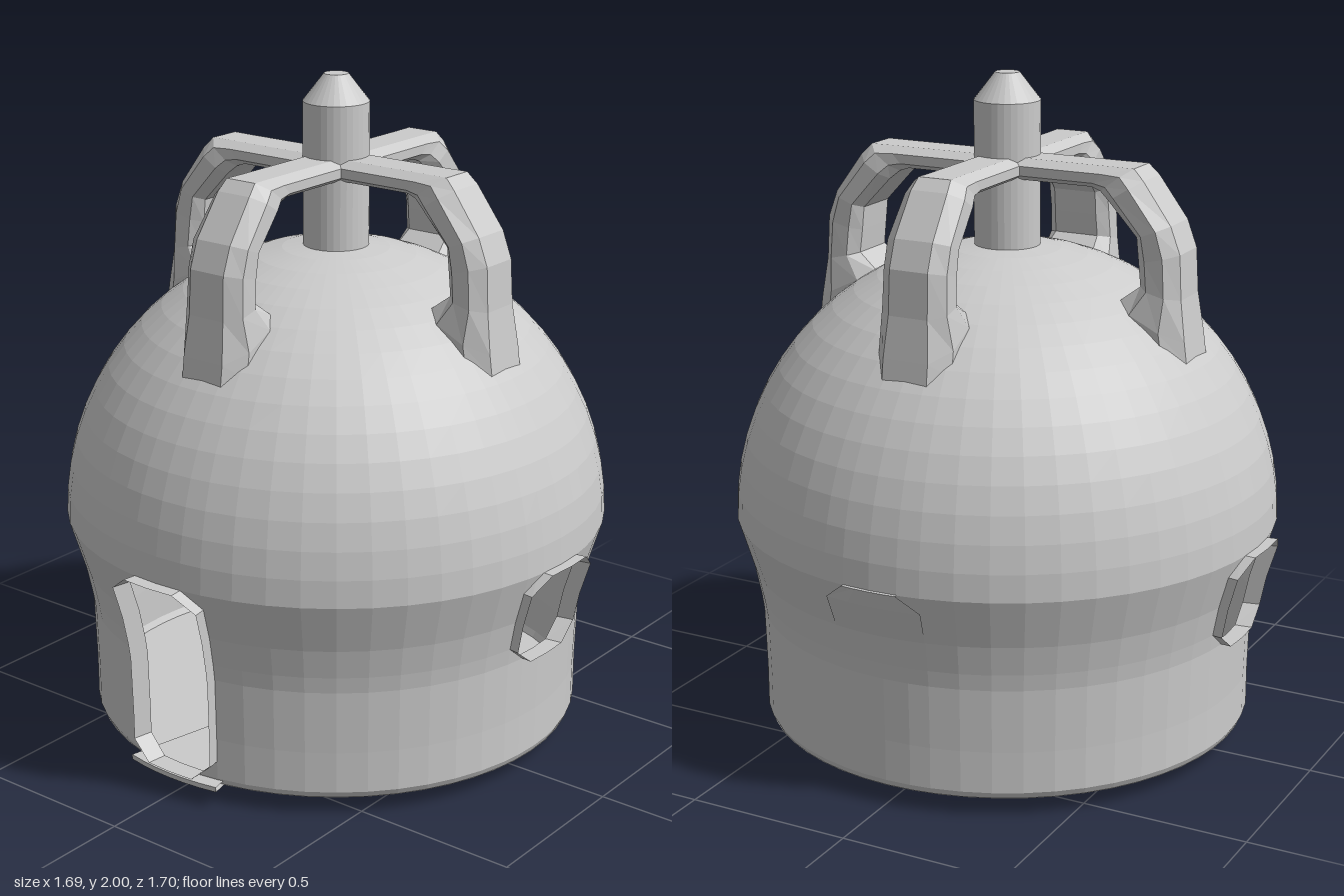
import * as THREE from 'three';

const material = new THREE.MeshStandardMaterial({
  color: 0xcccccc, flatShading: true, side: THREE.DoubleSide,
});

// Lower wall profile: [height, radius]; a hemisphere continues above it
const DOME_Y = 0.68, DOME_R = 0.82;
const profile = [
  [0.055, 0.735], [0.075, 0.745], [0.13, 0.745], [0.2, 0.745], [0.39, 0.75],
  [0.44, 0.757], [0.53, 0.775], [0.63, 0.805], [DOME_Y, DOME_R],
];
const DOME_ROWS = 16;
for (let i = 1; i <= DOME_ROWS; i++) {
  const e = (i / DOME_ROWS) * Math.PI / 2;
  profile.push([DOME_Y + DOME_R * Math.sin(e), DOME_R * Math.cos(e)]);
}

// Openings are octagons in (angle, height): half widths in degrees
const HALF = 10.7, FLAT = 6;
const portHole = { y: [0.39, 0.44, 0.63, 0.68], depth: 0.032 };
const doorHole = { y: [0.075, 0.13, 0.63, 0.68], depth: 0.042 };
const openings = [portHole, null, portHole, doorHole]; // +z, +x, -z, -x

function radiusAt(y) {
  for (let i = 1; i < profile.length; i++) {
    const [y0, r0] = profile[i - 1], [y1, r1] = profile[i];
    if (y <= y1) return r0 + (r1 - r0) * (y - y0) / (y1 - y0);
  }
  return 0;
}

// Point on the body at an angle (degrees from +z towards +x) and height
function onBody(deg, y, offset = 0) {
  const a = THREE.MathUtils.degToRad(deg), r = radiusAt(y) + offset;
  return [r * Math.sin(a), y, r * Math.cos(a)];
}

function meshFrom(name, triangles) {
  const g = new THREE.BufferGeometry();
  g.setAttribute('position', new THREE.Float32BufferAttribute(triangles.flat(), 3));
  g.computeVertexNormals();
  const mesh = new THREE.Mesh(g, material);
  mesh.name = name;
  return mesh;
}

const quad = (out, a, b, c, d) => out.push(a, b, c, a, c, d);

// Domed shell, leaving out the cells that lie inside an opening
function makeBody() {
  const side = [0, FLAT, HALF, 17.5, 24.4, 31.2, 38.1, 45];
  const cols = [...side.slice(1).reverse().map((a) => -a), ...side];
  const tri = [];
  openings.forEach((hole, q) => {
    for (let c = 0; c < cols.length - 1; c++) {
      for (let r = 0; r < profile.length - 1; r++) {
        const a0 = cols[c], a1 = cols[c + 1], y0 = profile[r][0], y1 = profile[r + 1][0];
        const am = (a0 + a1) / 2, ym = (y0 + y1) / 2;
        const p = [[a0, y0], [a1, y0], [a1, y1], [a0, y1]].map(([a, y]) => onBody(q * 90 + a, y));
        if (hole && Math.abs(am) < HALF && ym > hole.y[0] && ym < hole.y[3]) {
          const low = ym < hole.y[1], high = ym > hole.y[2];
          // Corner cells keep only their outer half
          if (Math.abs(am) > FLAT && (low || high)) {
            const keep = low ? (am < 0 ? 0 : 1) : (am < 0 ? 3 : 2);
            tri.push(p[(keep + 3) % 4], p[keep], p[(keep + 1) % 4]);
          }
        } else quad(tri, ...p);
      }
    }
  });
  return meshFrom('body', tri);
}

// Thin collar standing out around an opening
function makeCollar(hole, q) {
  const [b, b1, t1, t] = hole.y;
  const rows = profile.map((p) => p[0]).filter((y) => y > b1 + 0.001 && y < t1 - 0.001);
  const right = [[0, b], [FLAT, b], [HALF, b1], ...rows.map((y) => [HALF, y]), [HALF, t1], [FLAT, t], [0, t]];
  const loop = [...right, ...right.slice(1, -1).reverse().map(([a, y]) => [-a, y])];
  const tri = [];
  loop.forEach(([a, y], i) => {
    const [a2, y2] = loop[(i + 1) % loop.length];
    quad(tri, onBody(q * 90 + a, y, -0.02), onBody(q * 90 + a2, y2, -0.02),
      onBody(q * 90 + a2, y2, hole.depth), onBody(q * 90 + a, y, hole.depth));
  });
  return meshFrom(hole === doorHole ? 'doorCollar' : 'portCollar', tri);
}

// Faint raised arch on the closed side
function makeArchPanel() {
  const rows = [[0.53, HALF, 0.001], [0.63, HALF, 0.008], [0.68, FLAT, 0.008], [0.682, FLAT, -0.005]];
  const tri = [];
  for (let i = 0; i < rows.length - 1; i++) {
    for (let s = -2; s < 2; s++) {
      const pt = ([y, w, o], k) => onBody(90 + w * k / 2, y, o);
      quad(tri, pt(rows[i], s), pt(rows[i], s + 1), pt(rows[i + 1], s + 1), pt(rows[i + 1], s));
    }
  }
  return meshFrom('archPanel', tri);
}

// Bent arm: chamfered cross-sections between outer and inner edges
function makeArm() {
  // outer distance, outer height, inner distance, inner height, half width
  const stations = [
    [0, 1.762, 0, 1.7, 0.082], [0.36, 1.762, 0.3, 1.7, 0.082],
    [0.43, 1.762, 0.33, 1.69, 0.085], [0.462, 1.73, 0.36, 1.665, 0.095],
    [0.55, 1.61, 0.45, 1.57, 0.1], [0.58, 1.53, 0.457, 1.5, 0.1],
    [0.587, 1.4, 0.465, 1.43, 0.103], [0.604, 1.28, 0.4, 1.38, 0.118],
    [0.612, 1.22, 0.42, 1.28, 0.118],
  ];
  // across the width, and from outer (0) to inner (1)
  const section = [[0.6, 0], [1, 0.3], [1, 0.75], [0.7, 1], [-0.7, 1], [-1, 0.75], [-1, 0.3], [-0.6, 0]];
  const rings = stations.map(([ro, yo, ri, yi, w]) => section.map(([u, v]) =>
    [u * w, yo + (yi - yo) * v, ro + (ri - ro) * v]));
  const tri = [];
  for (let i = 0; i < rings.length - 1; i++) {
    for (let k = 0; k < 8; k++) {
      const n = (k + 1) % 8;
      quad(tri, rings[i][k], rings[i][n], rings[i + 1][n], rings[i + 1][k]);
    }
  }
  // the winding follows the section seen from the arm's outer side
  for (let i = 0; i < tri.length; i += 3) [tri[i + 1], tri[i + 2]] = [tri[i + 2], tri[i + 1]];
  return meshFrom('arm', tri);
}

export function createModel() {
  const model = new THREE.Group();
  model.name = 'domedHouse';
  model.position.x = 0.02;
  const root = new THREE.Group();
  root.add(model);

  model.add(makeBody(), makeArchPanel());
  openings.forEach((hole, q) => hole && model.add(makeCollar(hole, q)));

  // Floor disc
  const floor = new THREE.Mesh(new THREE.CircleGeometry(0.737, 56).rotateX(Math.PI / 2), material);
  floor.name = 'floor';
  floor.position.y = 0.055;
  model.add(floor);

  // Doorstep: a small sector of floor reaching past the door
  const rad = THREE.MathUtils.degToRad;
  const step = new THREE.Mesh(
    new THREE.CylinderGeometry(0.785, 0.785, 0.015, 6, 1, false, rad(270 - 12), rad(24)), material);
  step.name = 'doorstep';
  step.position.y = 0.062;
  model.add(step);

  // Central pole with a blunt tip
  const pole = new THREE.Mesh(new THREE.LatheGeometry(
    [[0, 0], [0.098, 0], [0.098, 1.92], [0.036, 2], [0, 2]].map(([x, y]) => new THREE.Vector2(x, y)), 32), material);
  pole.name = 'pole';
  model.add(pole);

  // Four arms joining the pole to the dome
  for (let i = 0; i < 4; i++) {
    const arm = makeArm();
    arm.rotation.y = i * Math.PI / 2;
    model.add(arm);
  }
  return root;
}
